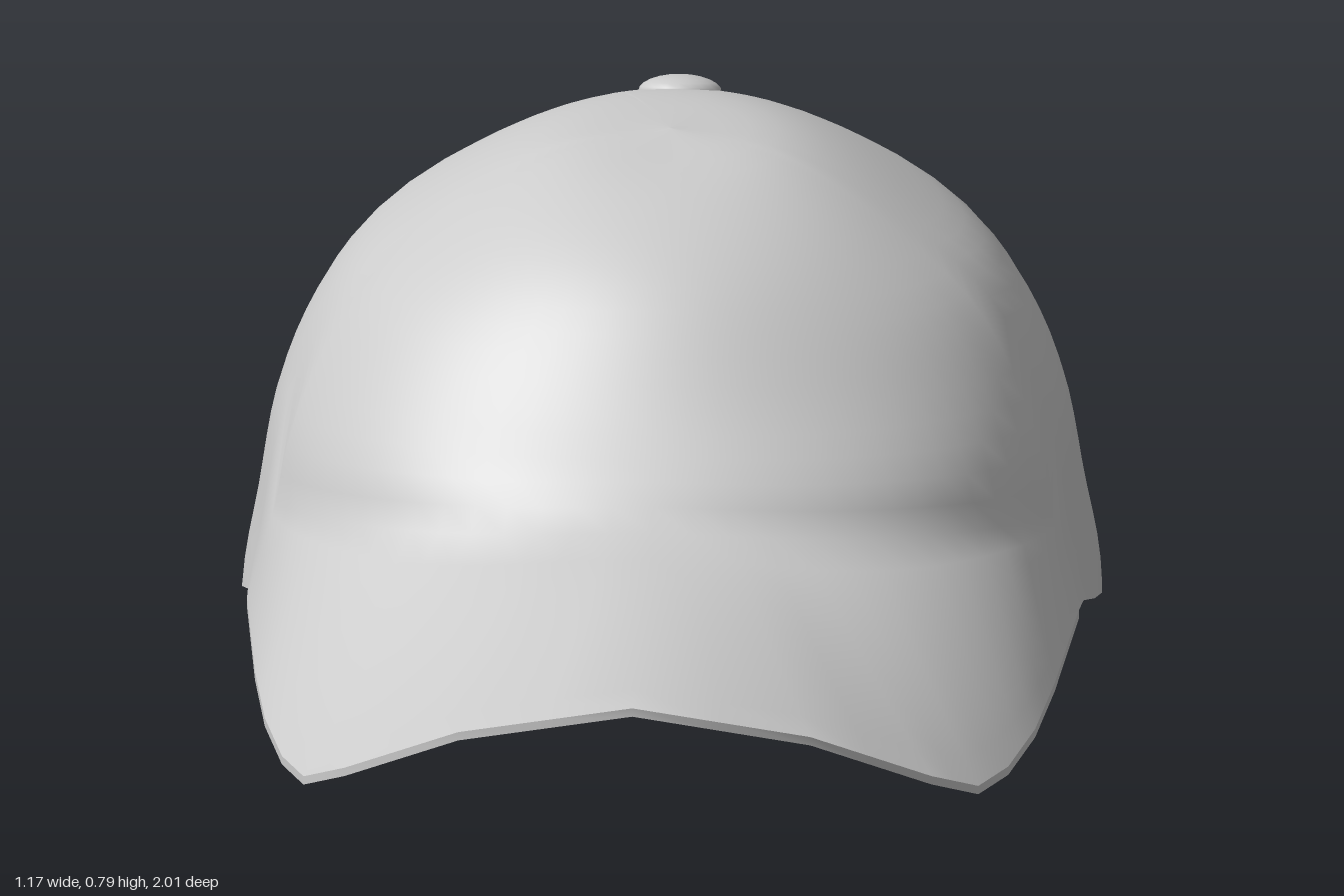
import * as THREE from 'three';
import { mergeGeometries } from 'three/addons/utils/BufferGeometryUtils.js';

const V = (x, y, z) => new THREE.Vector3(x, y, z);
const lerp = THREE.MathUtils.lerp;

// Piecewise linear lookup in [[x, y], ...] with rising x
function lookup(table, x) {
  if (x <= table[0][0]) return table[0][1];
  for (let i = 1; i < table.length; i++) {
    const [x0, y0] = table[i - 1], [x1, y1] = table[i];
    if (x <= x1) return lerp(y0, y1, (x - x0) / (x1 - x0));
  }
  return table[table.length - 1][1];
}

// Smooth surface through rows of points
function grid(rows, flip = false) {
  const n = rows[0].length, index = [];
  for (let i = 0; i < rows.length - 1; i++) {
    for (let j = 0; j < n - 1; j++) {
      const a = i * n + j, b = a + n, c = b + 1, d = a + 1;
      if (flip) index.push(a, b, c, a, c, d);
      else index.push(a, c, b, a, d, c);
    }
  }
  const geo = new THREE.BufferGeometry().setFromPoints(rows.flat());
  geo.setIndex(index);
  geo.computeVertexNormals();
  return geo;
}

// Closed strip joining the borders of two matching grids
function border(outer, inner) {
  const rim = (r) => [
    ...r.map((row) => row[row.length - 1]),
    ...r[r.length - 1].slice().reverse(),
    ...r.map((row) => row[0]).reverse(),
    ...r[0],
  ];
  const a = rim(outer), b = rim(inner);
  return grid(a.map((p, i) => [p, b[i]]));
}

// Inner side and rim of a sheet, offset along its normals
function lining(rows, thickness) {
  const nor = grid(rows).attributes.normal, n = rows[0].length;
  const inner = rows.map((row, i) => row.map((p, j) =>
    V().fromBufferAttribute(nor, i * n + j).multiplyScalar(-thickness).add(p)));
  return mergeGeometries([grid(inner, true), border(rows, inner)]);
}

// Crown profiles as radius and height, from the top down
const ZC = -0.2;
const profile = (pts) => new THREE.CatmullRomCurve3(pts.map(([r, y]) => V(r, y, 0)), false, 'centripetal');
const FRONT = profile([[0, .79], [.2, .752], [.35, .68], [.49, .54], [.61, .415], [.62, .33], [.62, -.06]]);
const SIDE = profile([[0, .79], [.17, .77], [.35, .67], [.45, .585], [.53, .43], [.565, .25], [.585, .13], [.585, -.06]]);
const BACK = profile([[0, .79], [.22, .77], [.44, .68], [.6, .57], [.7, .44], [.775, .27], [.79, .19], [.79, -.06]]);

// Round near the top, squarer in plan towards the rim
function crownPoint(phi, t) {
  const s = Math.sin(phi), c = Math.cos(phi);
  const side = SIDE.getPointAt(t), along = (c > 0 ? FRONT : BACK).getPointAt(t);
  const e = 2 / lerp(2, c > 0 ? 2.95 : 2.5, t ** 4);
  return V(Math.sign(s) * Math.abs(s) ** e * side.x,
    lerp(along.y, side.y, s * s),
    ZC + Math.sign(c) * Math.abs(c) ** e * along.x);
}

// Crown points from the top down to height y
function crownColumn(phi, y, steps) {
  let lo = 0, hi = 1;
  for (let i = 0; i < 22; i++) {
    const mid = (lo + hi) / 2;
    if (crownPoint(phi, mid).y > y) lo = mid; else hi = mid;
  }
  return Array.from({ length: steps + 1 }, (_, j) => crownPoint(phi, lo * j / steps));
}

// Lower edge of the crown, with the arched opening at the back
const CUT = 0.378;
function rimHeight(phi) {
  const off = Math.PI - Math.abs(phi);
  if (off < CUT) return lookup([[.27, .19], [.34, .17], [CUT, .125]], off);
  const p = crownPoint(phi, 0.87);
  if (p.z > 0.05) return 0.37 - 0.31 * Math.abs(p.x);
  return lookup([[-1, .008], [-.9, .004], [-.8, 0], [-.2, .125], [.05, .195]], p.z);
}

// Outline of the brim from corner to corner, in straight segments
const HALF = [[.567, .19, .05], [.545, .17, .3], [.525, .155, .45], [.495, .152, .6],
  [.46, .168, .73], [.4, .212, .82], [.24, .305, .935]];
const EDGE = new THREE.CatmullRomCurve3([
  ...HALF.map(([x, y, z]) => V(-x, y, z)), V(0, .365, 1),
  ...HALF.slice().reverse().map(([x, y, z]) => V(x, y, z)),
], false, 'catmullrom', 0);
const CORNER = 1.25, CROWN_ROWS = 20, BRIM_ROWS = 8, BRIM_COLS = 28;

// Crown and top of the brim as one flowing skin, with lining and underside
function buildCap() {
  const skin = [], crown = [], brimTop = [], brimUnder = [];
  const backCols = [];
  for (let i = 1; i <= 16; i++) backCols.push(lerp(CORNER, Math.PI, i / 16));
  for (const off of [CUT - .001, CUT + .001, .34, .29]) backCols.push(Math.PI - off);
  backCols.sort((a, b) => a - b);
  const frontCols = Array.from({ length: BRIM_COLS + 1 }, (_, i) => (i / BRIM_COLS * 2 - 1) * CORNER);
  const columns = [...backCols.map((p) => -p).reverse(), ...frontCols, ...backCols];

  for (const phi of columns) {
    const column = crownColumn(phi, rimHeight(phi), CROWN_ROWS + BRIM_ROWS);
    crown.push(column);
    const u = phi / CORNER, a = Math.abs(u);
    if (a > 1.0001) {
      skin.push(column);
      continue;
    }
    // the brim climbs the crown at the sides and flows into it
    const upper = crownColumn(phi, 0.415 - 0.1 * a ** 1.5, CROWN_ROWS);
    const joint = upper[CROWN_ROWS];
    const outer = EDGE.getPoint((u + 1) / 2);
    // the underside ends on a straight, tent-shaped line
    const chord = V(u * .56, lerp(.335, .185, a), lerp(.35, .05, a));
    const low = outer.clone().add(V(0, -.012, 0));
    const top = [], under = [];
    for (let j = 0; j <= BRIM_ROWS; j++) {
      const v = j / BRIM_ROWS, p = joint.clone().lerp(outer, v);
      p.y -= 0.012 * (1 - a) * Math.sin(Math.PI * v);
      top.push(p);
      under.push(chord.clone().lerp(low, v));
    }
    skin.push([...upper, ...top.slice(1)]);
    brimTop.push(top);
    brimUnder.push(under);
  }
  return {
    skin: grid(skin),
    lining: lining(crown, 0.02),
    underside: mergeGeometries([grid(brimUnder, true), border(brimTop, brimUnder)]),
  };
}

// Strap: starts inside the crown on one side, ends outside on the other
function strapGeometry() {
  const rows = [], N = 20;
  for (let i = 0; i <= N; i++) {
    const k = i / N, x = lerp(-.295, .37, k);
    const z = ZC - .79 * (1 - (Math.abs(x) / .585) ** 2.3) ** (1 / 2.3);
    const out = lookup([[0, -.03], [.3, 0], [.5, .008], [1, .016]], k);
    rows.push([.09, .01].map((y) => V(x, y, z - out)));
  }
  return mergeGeometries([grid(rows), lining(rows, 0.008)]);
}

export function createModel() {
  const cap = new THREE.Group();
  cap.name = 'cap';
  const material = new THREE.MeshStandardMaterial({ color: 0xcccccc, side: THREE.DoubleSide });
  const add = (name, geometry) => {
    const mesh = new THREE.Mesh(geometry, material);
    mesh.name = name;
    cap.add(mesh);
    return mesh;
  };
  const parts = buildCap();
  add('crownAndBrim', parts.skin);
  add('crownLining', parts.lining);
  add('brimUnderside', parts.underside);
  add('backStrap', strapGeometry());

  // Button on top, tilted with the slope of the crown
  const button = add('topButton', new THREE.SphereGeometry(0.057, 20, 12));
  button.scale.y = 0.42;
  button.position.set(0, 0.747, -0.48);
  button.rotation.x = -0.3;
  return cap;
}
